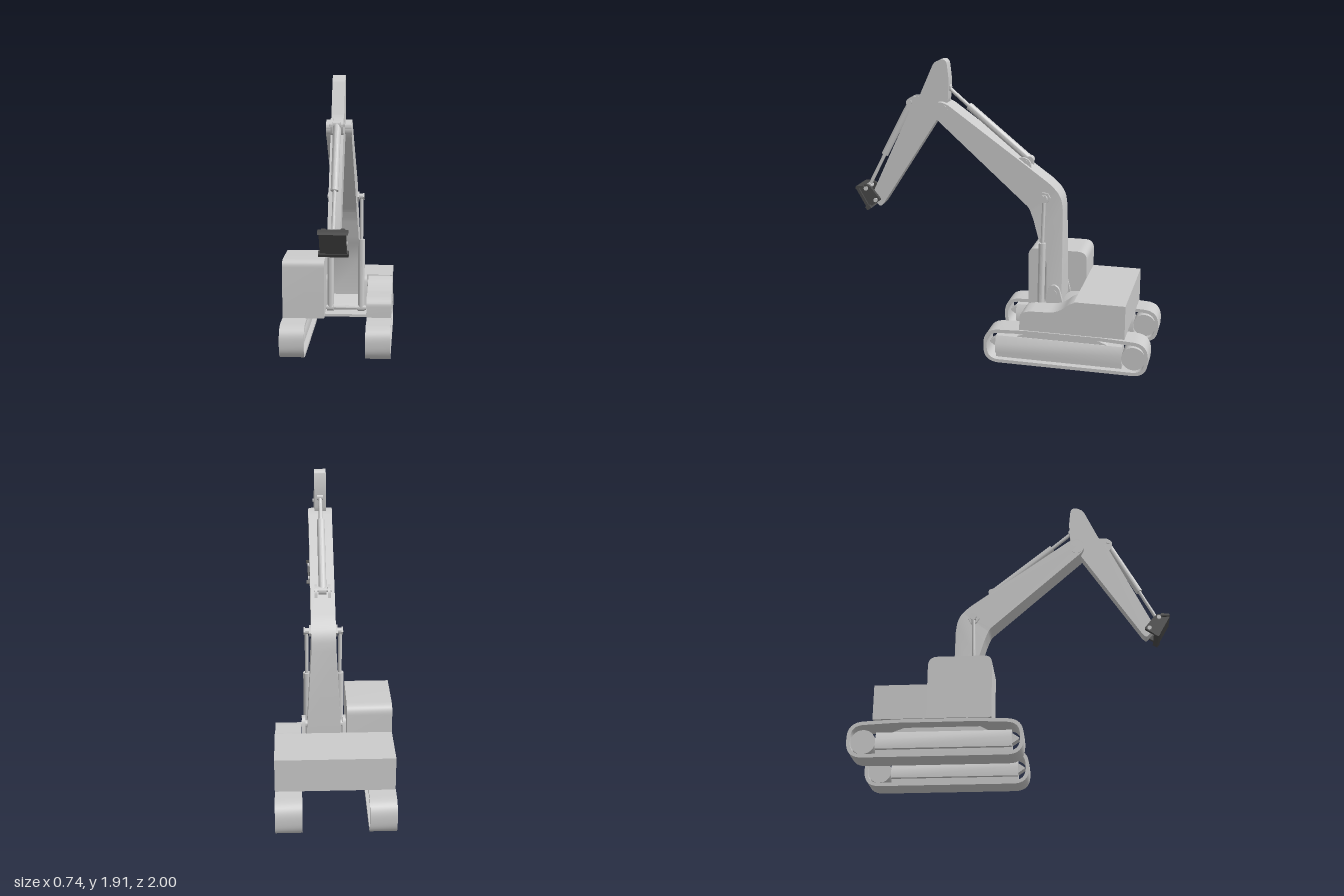
import * as THREE from 'three';
import { toCreasedNormals } from 'three/addons/utils/BufferGeometryUtils.js';

const grey = new THREE.MeshStandardMaterial({ color: 0xcccccc });
const dark = new THREE.MeshStandardMaterial({ color: 0x4a4a4a });
const CX = 0.055; // centre line of the digging arm

// Closed outline from [z, y, cornerRadius] points
function outline(points, Type = THREE.Shape) {
  const path = new Type();
  const n = points.length;
  points.forEach(([z, y, r = 0], i) => {
    const p = new THREE.Vector2(z, y);
    const toward = (q) => {
      const d = new THREE.Vector2(q[0], q[1]).sub(p);
      return p.clone().addScaledVector(d.normalize(), r);
    };
    const a = toward(points[(i + n - 1) % n]);
    const b = toward(points[(i + 1) % n]);
    if (i === 0) path.moveTo(a.x, a.y);
    else path.lineTo(a.x, a.y);
    if (r > 0) path.quadraticCurveTo(z, y, b.x, b.y);
  });
  path.closePath();
  return path;
}

// Side profile in (z, y) extruded from x0 to x1
function slab(shape, x0, x1) {
  const geo = new THREE.ExtrudeGeometry(shape, { depth: x1 - x0, bevelEnabled: false, curveSegments: 8 });
  geo.rotateY(-Math.PI / 2);
  geo.translate(x1, 0, 0);
  return geo;
}

function add(parent, name, geo, material = grey) {
  const mesh = new THREE.Mesh(toCreasedNormals(geo, 0.6), material);
  mesh.name = name;
  parent.add(mesh);
  return mesh;
}

// Round bar between two [x, y, z] points
function bar(parent, name, from, to, radius, material = grey, sides = 20) {
  const a = new THREE.Vector3(...from);
  const b = new THREE.Vector3(...to);
  const mesh = add(parent, name, new THREE.CylinderGeometry(radius, radius, a.distanceTo(b), sides), material);
  mesh.position.copy(a).add(b).multiplyScalar(0.5);
  mesh.quaternion.setFromUnitVectors(new THREE.Vector3(0, 1, 0), b.sub(a).normalize());
  return mesh;
}

const pin = (parent, name, x0, x1, y, z, r, material, sides) =>
  bar(parent, name, [x0, y, z], [x1, y, z], r, material, sides);

// Hydraulic ram: barrel from a to m, rod from m to b, with eyes at both ends
function ram(parent, name, x, a, m, b, r) {
  const g = new THREE.Group();
  g.name = name;
  const at = ([z, y]) => [x, y, z];
  bar(g, 'barrel', at(a), at(m), r);
  bar(g, 'rod', at(m), at(b), r * 0.5);
  pin(g, 'barrelEye', x - r, x + r, a[1], a[0], r);
  pin(g, 'rodEye', x - r * 0.8, x + r * 0.8, b[1], b[0], r * 0.8);
  parent.add(g);
}

function makeTrack(name, x0, x1) {
  const g = new THREE.Group();
  g.name = name;
  const mid = (x0 + x1) / 2;
  const loop = (d) => [
    [0.063 - d, d, 0.1 - d], [0.063 - d, 0.223 - d, 0.1 - d], [-0.22, 0.236 - d, 0.03],
    [-0.7, 0.236 - d, 0.03], [-1 + d, 0.223 - d, 0.1 - d], [-1 + d, d, 0.1 - d],
  ];
  const belt = outline(loop(0));
  belt.holes.push(outline(loop(0.022), THREE.Path));
  add(g, 'belt', slab(belt, x0, x1));

  // Chamfered beam running along the track
  const beam = new THREE.Shape();
  [[-0.065, 0.06], [0.065, 0.06], [0.065, 0.12], [0.04, 0.17], [-0.04, 0.17], [-0.065, 0.12]]
    .forEach(([x, y], i) => (i ? beam.lineTo(x, y) : beam.moveTo(x, y)));
  const beamGeo = new THREE.ExtrudeGeometry(beam, { depth: 0.82, bevelEnabled: false });
  beamGeo.translate(mid, 0, -0.83);
  add(g, 'beam', beamGeo);
  add(g, 'beamTop', slab(outline([[-0.14, 0.165], [-0.2, 0.198], [-0.66, 0.198], [-0.75, 0.165]]), mid - 0.035, mid + 0.035));
  add(g, 'rollerRail', slab(outline([[-0.01, 0.022], [-0.01, 0.062], [-0.83, 0.062], [-0.83, 0.022]]), mid - 0.04, mid + 0.04));
  add(g, 'nose', slab(outline([[-0.02, 0.08], [0.038, 0.12, 0.01], [-0.02, 0.16]]), mid - 0.03, mid + 0.03));
  pin(g, 'driveWheel', mid - 0.06, mid + 0.06, 0.105, -0.905, 0.076, grey, 28);
  return g;
}

function makeBody() {
  const g = new THREE.Group();
  g.name = 'upperBody';
  add(g, 'rearHousing', slab(outline([[-0.525, 0.24], [-0.525, 0.46], [-0.85, 0.46], [-0.85, 0.24]]), -0.37, 0.37));
  add(g, 'sideHousing', slab(outline([
    [-0.175, 0.24], [-0.175, 0.355, 0.04], [-0.24, 0.372, 0.02], [-0.42, 0.378, 0.06],
    [-0.515, 0.46, 0.05], [-0.56, 0.46], [-0.56, 0.24],
  ]), 0.2, 0.37));
  add(g, 'cab', slab(outline([
    [-0.13, 0.24], [-0.13, 0.642, 0.05], [-0.525, 0.642, 0.06], [-0.525, 0.24],
  ]), -0.37, -0.085));
  add(g, 'deck', slab(outline([
    [-0.19, 0.24], [-0.19, 0.258], [-0.28, 0.262], [-0.41, 0.36], [-0.53, 0.375], [-0.53, 0.24],
  ]), -0.085, 0.2));
  // Ears and pivot that hold the foot of the boom
  for (const s of [-1, 1]) {
    const x = CX + s * 0.13;
    add(g, 'footEar', slab(outline([
      [-0.29, 0.26], [-0.31, 0.4, 0.02], [-0.33, 0.495, 0.04], [-0.39, 0.495, 0.04], [-0.42, 0.38, 0.02], [-0.42, 0.26],
    ]), x - 0.012, x + 0.012));
  }
  pin(g, 'footPin', CX - 0.145, CX + 0.145, 0.44, -0.36, 0.022);
  pin(g, 'liftRamPin', CX - 0.135, CX + 0.14, 0.285, -0.268, 0.015);
  return g;
}

function makeArm() {
  const g = new THREE.Group();
  g.name = 'diggingArm';

  // Bent boom, widening toward its foot
  const boom = slab(outline([
    [0.365, 1.635, 0.03], [-0.33, 1.14, 0.05], [-0.39, 1.07, 0.05], [-0.403, 0.97], [-0.407, 0.37],
    [-0.31, 0.37], [-0.305, 0.62], [-0.25, 0.77, 0.03], [-0.21, 0.91, 0.02], [-0.18, 0.985, 0.02],
    [0.44, 1.54, 0.02], [0.462, 1.61, 0.03], [0.42, 1.645, 0.02],
  ]), CX - 0.077, CX + 0.077);
  const pos = boom.attributes.position;
  for (let i = 0; i < pos.count; i++) {
    const flare = 1 + 0.75 * Math.max(0, 0.97 - pos.getY(i));
    pos.setX(i, CX + (pos.getX(i) - CX) * flare);
  }
  add(g, 'boom', boom);
  pin(g, 'elbowPivot', CX - 0.079, CX + 0.079, 1.585, 0.405, 0.05, grey, 28);

  // Knee pin with hexagonal nuts, and a lift ram on each side
  pin(g, 'kneePin', CX - 0.125, CX + 0.125, 1.06, -0.285, 0.018);
  for (const s of [-1, 1]) {
    pin(g, 'kneeBoss', CX + s * 0.07, CX + s * 0.09, 1.06, -0.285, 0.037, grey, 6);
    pin(g, 'kneeNut', CX + s * 0.115, CX + s * 0.123, 1.06, -0.285, 0.026, grey, 6);
    ram(g, 'liftRam', CX + s * 0.106, [-0.268, 0.285], [-0.276, 0.765], [-0.285, 1.06], 0.023);
  }

  // Ears and ram on top of the boom
  for (const s of [-1, 1]) {
    const x = CX + s * 0.042;
    add(g, 'boomEar', slab(outline([
      [-0.08, 1.29], [-0.13, 1.31, 0.02], [-0.18, 1.29, 0.03], [-0.19, 1.22], [-0.08, 1.25],
    ]), x - 0.009, x + 0.009));
  }
  pin(g, 'boomEarPin', CX - 0.055, CX + 0.055, 1.28, -0.15, 0.012);
  ram(g, 'stickRam', CX, [-0.17, 1.285], [0.235, 1.615], [0.37, 1.73], 0.025);

  // Stick
  add(g, 'stick', slab(outline([
    [0.4, 1.915, 0.02], [0.455, 1.89, 0.025], [0.555, 1.67, 0.02], [0.61, 1.6, 0.02], [0.887, 1.02],
    [0.895, 0.97], [0.845, 0.912, 0.015], [0.82, 0.937], [0.437, 1.525], [0.365, 1.64, 0.03],
    [0.356, 1.78, 0.04], [0.37, 1.9, 0.02],
  ]), CX - 0.038, CX + 0.038));
  for (const s of [-1, 1]) {
    const x = CX + s * 0.031;
    add(g, 'stickEar', slab(outline([
      [0.54, 1.665], [0.61, 1.665, 0.02], [0.65, 1.635, 0.02], [0.635, 1.57, 0.02], [0.6, 1.56],
    ]), x - 0.007, x + 0.007));
  }
  pin(g, 'stickEarPin', CX - 0.045, CX + 0.045, 1.63, 0.618, 0.012);
  ram(g, 'toolRam', CX, [0.618, 1.63], [0.815, 1.265], [0.93, 1.045], 0.023);
  return g;
}

// Tool coupler at the end of the stick
function makeCoupler() {
  const g = new THREE.Group();
  g.name = 'toolCoupler';
  for (const s of [-1, 1]) {
    const x = CX + s * 0.056;
    add(g, 'cheek', slab(outline([
      [0.99, 1.05], [0.93, 1.068, 0.015], [0.9, 1.05, 0.01], [0.832, 0.965, 0.01], [0.915, 0.91],
    ]), x - 0.012, x + 0.012), dark);
  }
  add(g, 'facePlate', slab(outline([[1.0, 1.04], [0.984, 1.05], [0.905, 0.912], [0.92, 0.9]]), CX - 0.078, CX + 0.078), dark);
  add(g, 'upperLip', slab(outline([[1.0, 1.04], [0.995, 1.055], [0.945, 1.062], [0.94, 1.045]]), CX - 0.088, CX + 0.088), dark);
  add(g, 'lowerLip', slab(outline([[0.935, 0.915], [0.918, 0.895], [0.89, 0.912], [0.905, 0.932]]), CX - 0.088, CX + 0.088), dark);
  for (const [z, y] of [[0.93, 1.04], [0.865, 0.965]]) {
    pin(g, 'couplerPin', CX - 0.078, CX + 0.078, y, z, 0.014, grey);
  }
  return g;
}

export function createModel() {
  const model = new THREE.Group();
  model.name = 'excavator';
  model.add(
    makeTrack('leftTrack', 0.203, 0.37),
    makeTrack('rightTrack', -0.373, -0.206),
    makeBody(),
    makeArm(),
    makeCoupler(),
  );
  return model;
}
